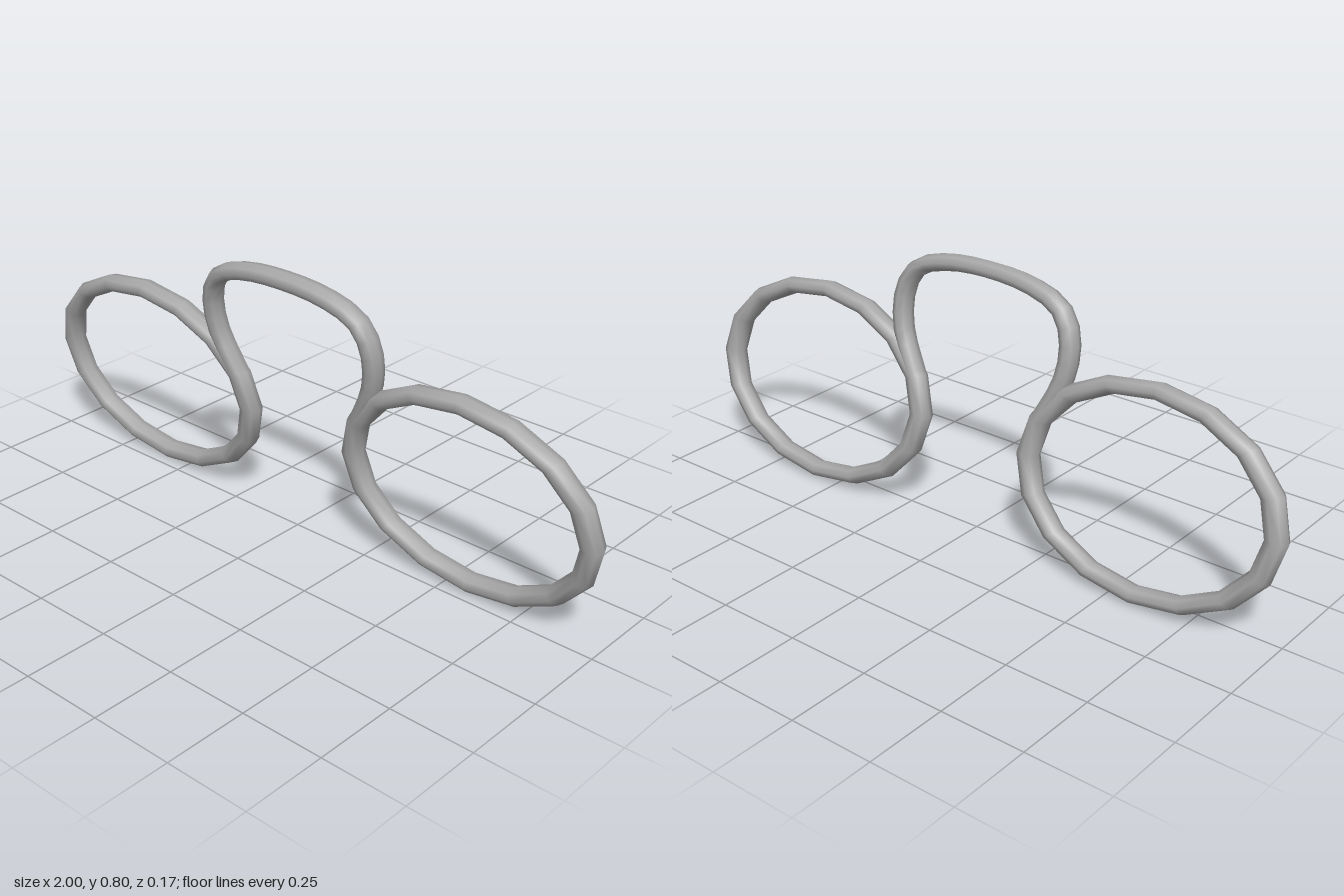
import * as THREE from 'three';

const TILT = 0.142;     // the frame leans forward
const SQUASH = 0.738;   // rims are flattened circles
const RIM_Y = 0.313;
const TUBE = 0.0335;

export function createModel() {
  const model = new THREE.Group();
  model.name = 'spectacleFrame';
  const metal = new THREE.MeshStandardMaterial({ color: 0xa8a8a8 });
  metal.name = 'greyMetal';

  const frame = new THREE.Group();
  frame.name = 'tiltedFrame';
  frame.rotation.x = TILT;
  frame.position.set(0, 0.002, -0.0585);
  model.add(frame);

  // Oval rims
  for (const side of [-1, 1]) {
    const geometry = new THREE.TorusGeometry(0.386, TUBE, 8, 16);
    geometry.scale(1, SQUASH, 1);
    const rim = new THREE.Mesh(geometry, metal);
    rim.name = side > 0 ? 'leftRim' : 'rightRim';
    rim.position.set(side * 0.58, RIM_Y, 0);
    frame.add(rim);
  }

  // Arched bridge, its ends sunk into the rims
  const half = [
    [0.222, 0.42], [0.25, 0.475], [0.28, 0.54], [0.293, 0.62],
    [0.281, 0.69], [0.248, 0.738], [0.205, 0.76], [0.112, 0.781],
  ];
  const outline = [...half, [0, 0.787], ...half.map(([x, y]) => [-x, y]).reverse()];
  const squashX = 0.83;
  const path = new THREE.CatmullRomCurve3(
    outline.map(([x, y]) => new THREE.Vector3(x / squashX, y / SQUASH, 0)));
  const bridgeGeometry = new THREE.TubeGeometry(path, 24, TUBE, 8);
  bridgeGeometry.scale(squashX, SQUASH, 1);
  const bridge = new THREE.Mesh(bridgeGeometry, metal);
  bridge.name = 'bridge';
  frame.add(bridge);

  return model;
}
